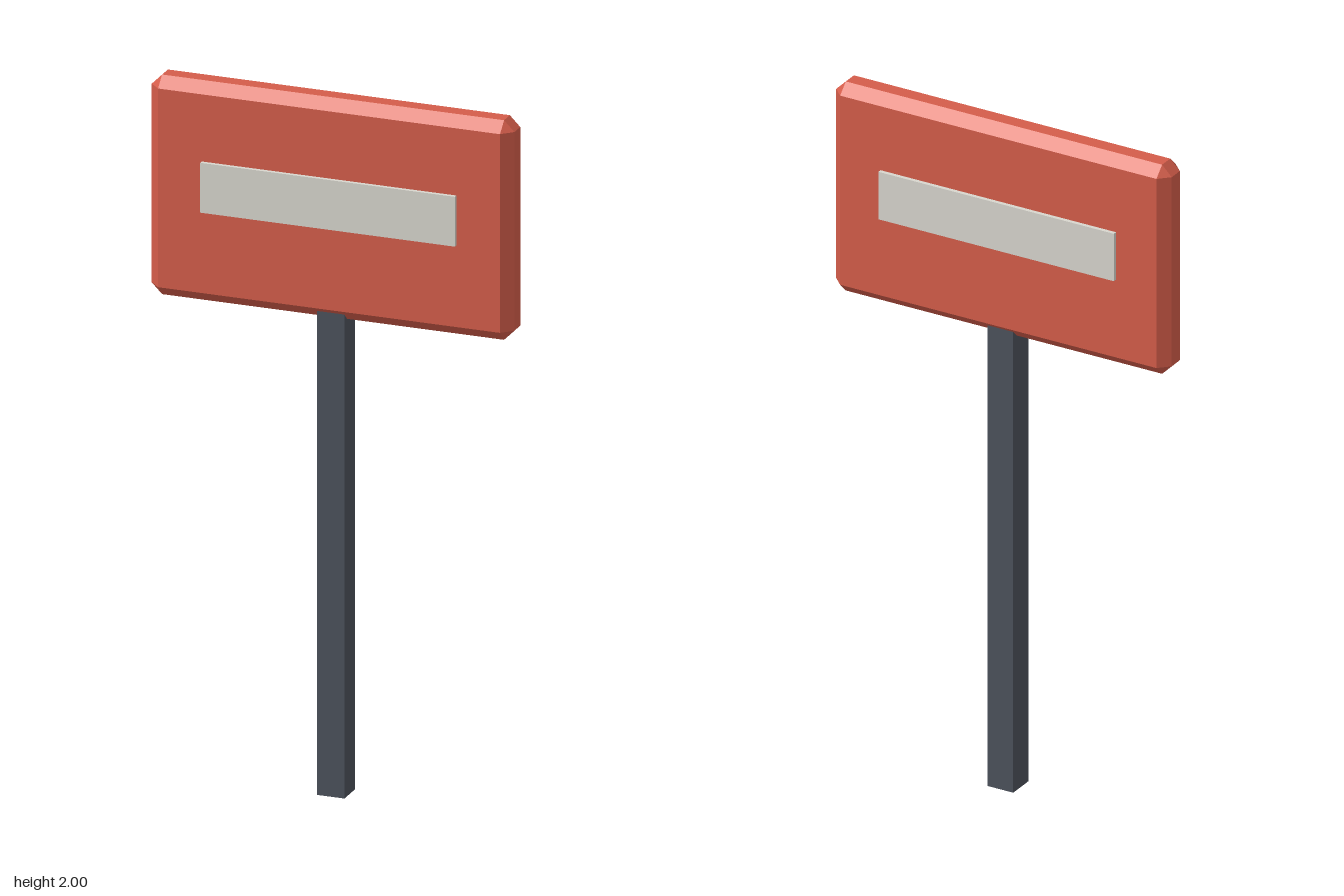
import * as THREE from 'three';
import { ConvexGeometry } from 'three/addons/geometries/ConvexGeometry.js';

// Box with every edge and corner cut by a flat chamfer
function chamferedBox(w, h, d, c) {
  const [x, y, z] = [w / 2, h / 2, d / 2];
  const points = [];
  for (const sx of [-1, 1]) for (const sy of [-1, 1]) for (const sz of [-1, 1]) {
    points.push(
      new THREE.Vector3(sx * x, sy * (y - c), sz * (z - c)),
      new THREE.Vector3(sx * (x - c), sy * y, sz * (z - c)),
      new THREE.Vector3(sx * (x - c), sy * (y - c), sz * z)
    );
  }
  return new ConvexGeometry(points);
}

export function createModel() {
  const red = new THREE.MeshStandardMaterial({ name: 'signRed', color: 0xd45d4a });
  const slate = new THREE.MeshStandardMaterial({ name: 'postSlate', color: 0x4c525c });
  const pale = new THREE.MeshStandardMaterial({ name: 'panelPale', color: 0xd8d6ce });

  const model = new THREE.Group();
  model.name = 'signpost';
  const add = (name, geometry, material, x, y, z) => {
    const mesh = new THREE.Mesh(geometry, material);
    mesh.name = name;
    mesh.position.set(x, y, z);
    model.add(mesh);
  };

  // Square post, its top tucked into the board
  add('post', new THREE.BoxGeometry(0.08, 1.42, 0.08), slate, 0, 0.71, 0);

  // Chamfered board
  add('board', chamferedBox(1.05, 0.63, 0.103, 0.03), red, 0, 1.685, 0);

  // Raised blank panel on each face
  const panel = new THREE.BoxGeometry(0.737, 0.143, 0.02);
  add('frontPanel', panel, pale, 0, 1.706, 0.053);
  add('backPanel', panel, pale, 0, 1.706, -0.053);

  return model;
}
